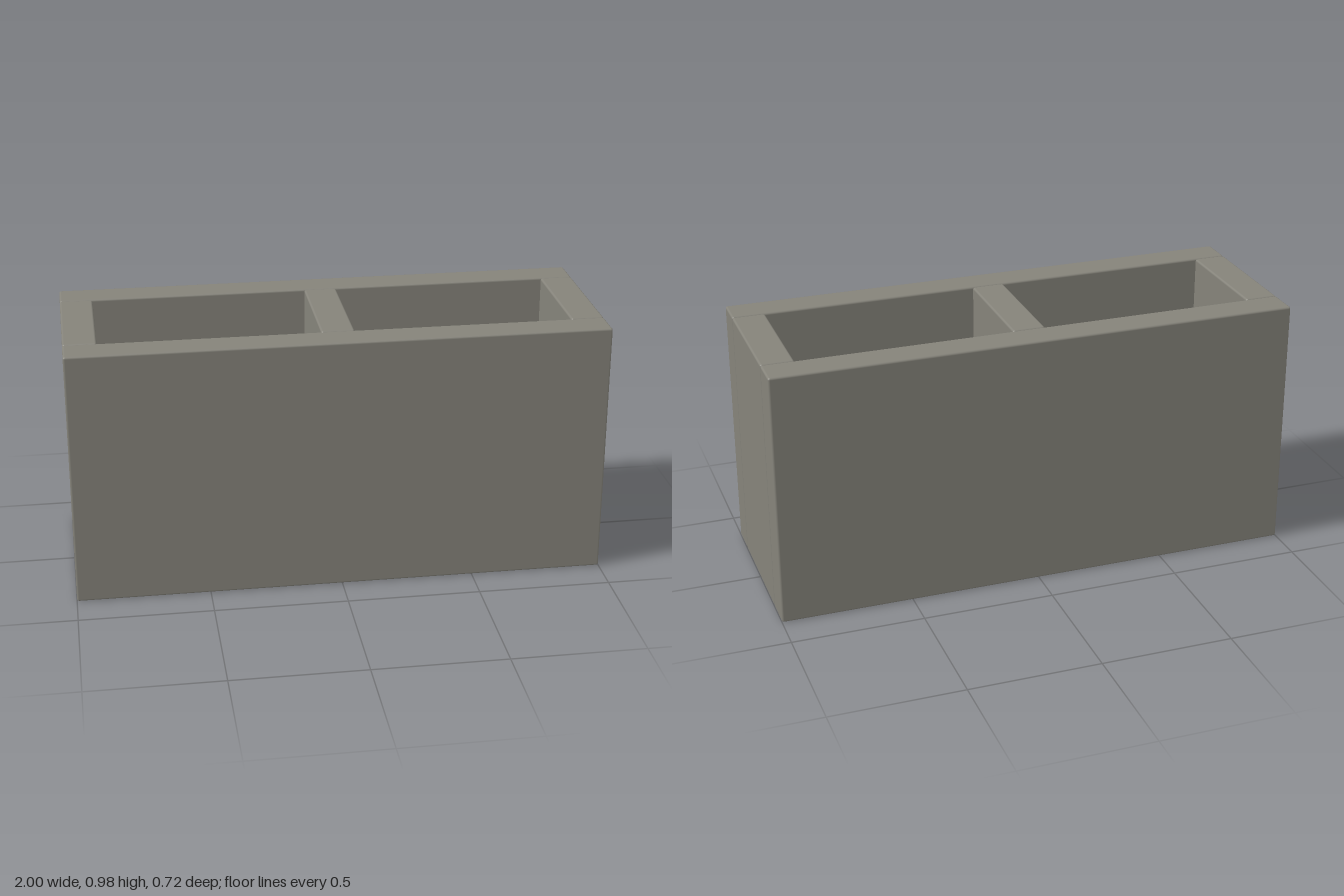
import * as THREE from 'three';
import { RoundedBoxGeometry } from 'three/addons/geometries/RoundedBoxGeometry.js';

const HEIGHT = 0.975, LENGTH = 2, DEPTH = 0.716;
const WALL = 0.124, EDGE = 0.008;

export function createModel() {
  const group = new THREE.Group();
  group.name = 'hollowBlock';
  const concrete = new THREE.MeshStandardMaterial({ color: 0x85837a });
  concrete.name = 'concrete';

  // Upright slab with softly rounded edges, standing on the ground
  const addSlab = (name, width, depth, x, z) => {
    const mesh = new THREE.Mesh(new RoundedBoxGeometry(width, HEIGHT, depth, 2, EDGE), concrete);
    mesh.name = name;
    mesh.position.set(x, HEIGHT / 2, z);
    group.add(mesh);
  };

  // Long face walls
  const wallZ = (DEPTH - WALL) / 2;
  addSlab('frontWall', LENGTH, WALL, 0, wallZ);
  addSlab('backWall', LENGTH, WALL, 0, -wallZ);

  // Cross webs: two ends and the centre divider
  const webDepth = DEPTH - 2 * WALL;
  const endX = (LENGTH - WALL) / 2;
  addSlab('leftEnd', WALL, webDepth, endX, 0);
  addSlab('rightEnd', WALL, webDepth, -endX, 0);
  addSlab('centreWeb', WALL, webDepth, 0, 0);

  return group;
}
